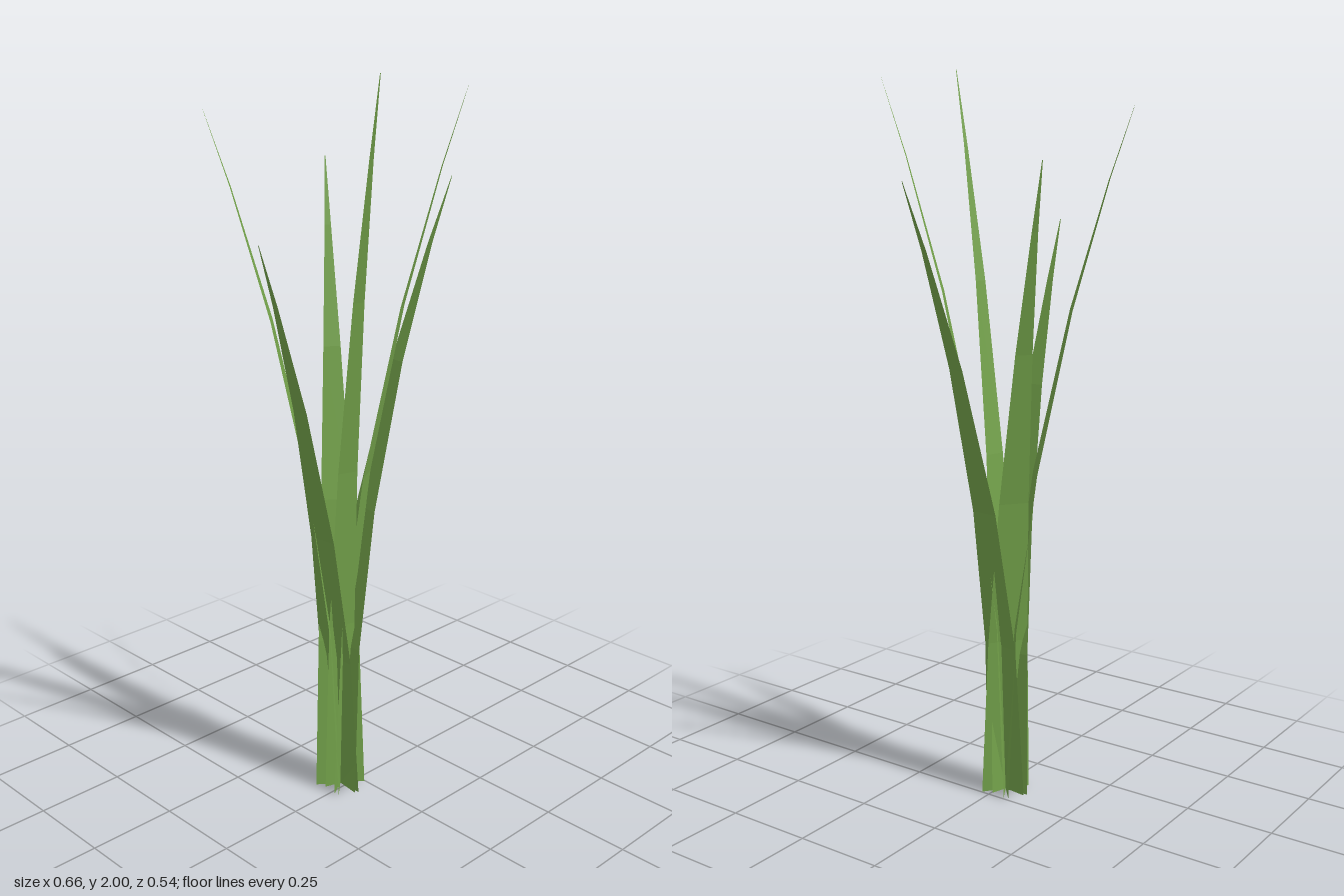
import * as THREE from 'three';

// Root point shared by every blade
const ROOT = { x: -0.058, z: -0.018 };

// Tip position and base width of each blade
const BLADES = [
  { name: 'backRightBlade', tip: [-0.28, 1.9, -0.268], width: 0.13 },
  { name: 'backLeftBlade', tip: [0.105, 1.76, -0.235], width: 0.14 },
  { name: 'rightBlade', tip: [-0.33, 1.6, -0.01], width: 0.145 },
  { name: 'leftBlade', tip: [0.327, 1.71, 0.023], width: 0.135 },
  { name: 'frontRightBlade', tip: [-0.129, 2.0, 0.2], width: 0.095 },
  { name: 'frontLeftBlade', tip: [0.105, 1.97, 0.268], width: 0.125 },
];

// Heights of the bends, as fractions of the blade height
const LEVELS = [0, 0.255, 0.485, 0.72, 0.9, 1];

// Flat tapering strip that leans out with the square of its height
function bladeGeometry([tx, ty, tz], width) {
  const dx = tx - ROOT.x, dz = tz - ROOT.z;
  const reach = Math.hypot(dx, dz);
  const sideX = dz / reach, sideZ = -dx / reach;
  const positions = [], index = [];
  LEVELS.forEach((t, i) => {
    const half = Math.max(0.5 * width * (1 - t ** 1.25), 0.001);
    const cx = ROOT.x + dx * t * t, cz = ROOT.z + dz * t * t;
    for (const s of [-1, 1]) positions.push(cx + s * half * sideX, ty * t, cz + s * half * sideZ);
    if (i > 0) {
      const a = 2 * (i - 1);
      index.push(a, a + 1, a + 3, a, a + 3, a + 2);
    }
  });
  const geometry = new THREE.BufferGeometry();
  geometry.setAttribute('position', new THREE.Float32BufferAttribute(positions, 3));
  geometry.setIndex(index);
  geometry.computeVertexNormals();
  return geometry;
}

export function createModel() {
  const group = new THREE.Group();
  group.name = 'grassTuft';
  const green = new THREE.MeshStandardMaterial({
    color: 0x74a34b, side: THREE.DoubleSide, flatShading: true,
  });
  green.name = 'grassGreen';

  for (const { name, tip, width } of BLADES) {
    const blade = new THREE.Mesh(bladeGeometry(tip, width), green);
    blade.name = name;
    group.add(blade);
  }
  return group;
}
